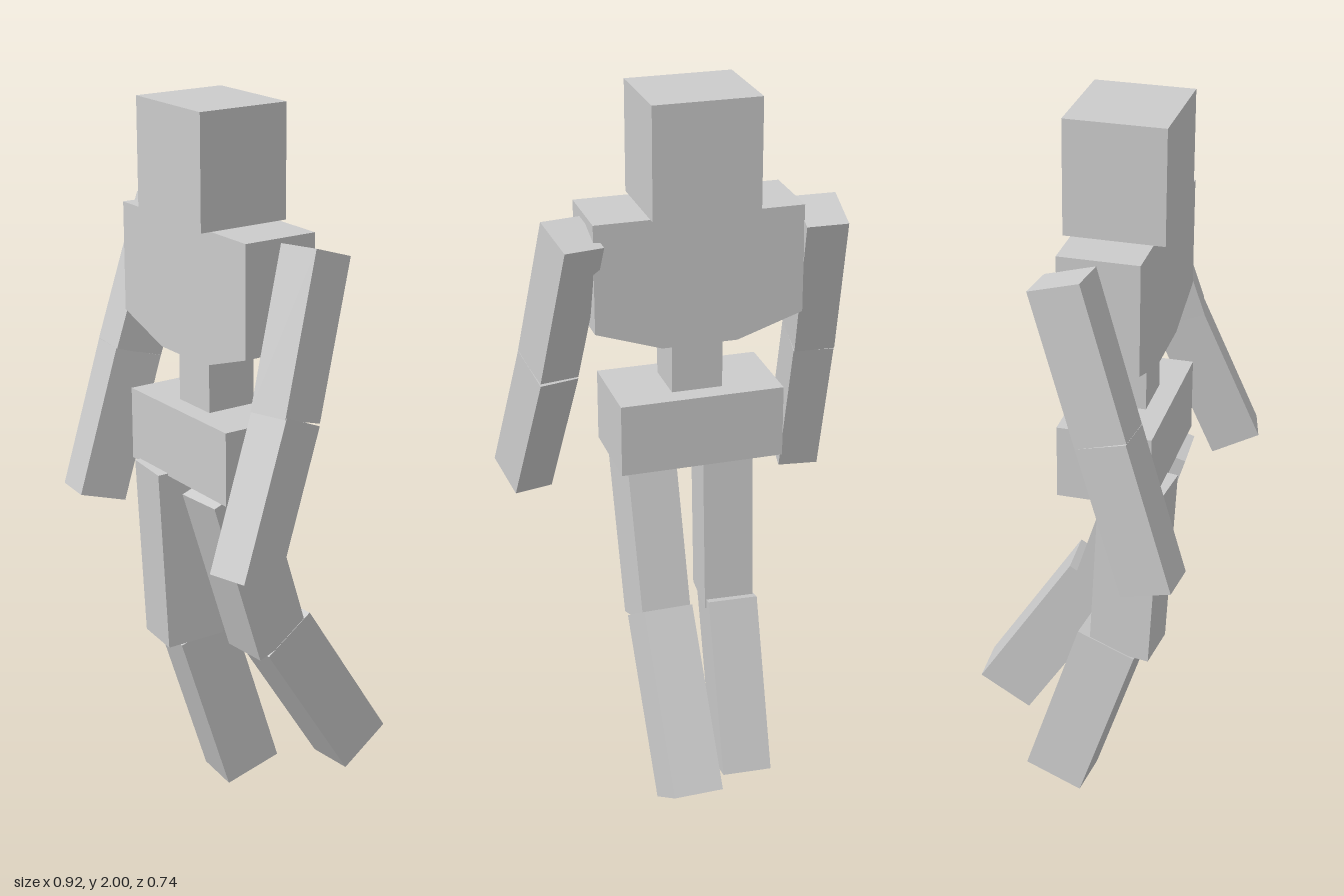
import * as THREE from 'three';

const material = new THREE.MeshStandardMaterial({ color: 0xcccccc, flatShading: true });

function add(group, name, geometry) {
  const mesh = new THREE.Mesh(geometry, material);
  mesh.name = name;
  group.add(mesh);
  return mesh;
}

// Upright block given by its ranges on each axis
function block(group, name, [x0, x1], [y0, y1], [z0, z1]) {
  const mesh = add(group, name, new THREE.BoxGeometry(x1 - x0, y1 - y0, z1 - z0));
  mesh.position.set((x0 + x1) / 2, (y0 + y1) / 2, (z0 + z1) / 2);
}

// Limb block running between two end centres, turned about its length by yaw
function limb(group, name, top, bottom, width, depth, yaw) {
  const a = new THREE.Vector3(...top);
  const b = new THREE.Vector3(...bottom);
  const mesh = add(group, name, new THREE.BoxGeometry(width, a.distanceTo(b), depth));
  const y = a.clone().sub(b).normalize();
  const x = new THREE.Vector3(Math.cos(yaw), 0, -Math.sin(yaw));
  x.addScaledVector(y, -x.dot(y)).normalize();
  const z = x.clone().cross(y);
  mesh.quaternion.setFromRotationMatrix(new THREE.Matrix4().makeBasis(x, y, z));
  mesh.position.copy(a).add(b).multiplyScalar(0.5);
}

export function createModel() {
  const model = new THREE.Group();
  model.name = 'blockFigure';

  // Head, waist and pelvis
  block(model, 'head', [-0.19, 0.1], [1.7, 2], [-0.04, 0.22]);
  block(model, 'waist', [-0.105, 0.035], [1.19, 1.36], [0.015, 0.155]);
  block(model, 'pelvis', [-0.26, 0.19], [1, 1.2], [-0.04, 0.21]);

  // Chest with its lower corners cut off
  const outline = [[-0.314, 1.7], [-0.314, 1.405], [-0.135, 1.345], [0.07, 1.345], [0.25, 1.405], [0.25, 1.7]];
  const shape = new THREE.Shape(outline.map(([x, y]) => new THREE.Vector2(x, y)));
  const chest = add(model, 'chest', new THREE.ExtrudeGeometry(shape, { depth: 0.21, bevelEnabled: false }));
  chest.position.z = -0.02;

  // Arms, swung forward
  const arm = [0.112, 0.14];
  limb(model, 'leftUpperArm', [0.296, 1.67, 0.011], [0.342, 1.27, 0.135], ...arm, 0.235);
  limb(model, 'leftForearm', [0.342, 1.27, 0.133], [0.389, 0.883, 0.293], ...arm, 0.245);
  limb(model, 'rightUpperArm', [-0.371, 1.67, 0.011], [-0.39, 1.27, 0.133], ...arm, -0.08);
  limb(model, 'rightForearm', [-0.39, 1.27, 0.133], [-0.398, 0.865, 0.254], ...arm, -0.11);

  // Legs in mid-stride, the left one trailing
  const leg = [0.139, 0.17];
  limb(model, 'leftThigh', [0.087, 1.012, 0.149], [0.083, 0.535, 0], ...leg, 0.057);
  limb(model, 'leftShin', [0.083, 0.557, -0.02], [0.079, 0.127, -0.295], ...leg, 0.057);
  limb(model, 'rightThigh', [-0.147, 1.01, 0.148], [-0.147, 0.495, 0.122], ...leg, -0.1);
  limb(model, 'rightShin', [-0.147, 0.513, 0.085], [-0.145, 0.028, -0.07], ...leg, -0.1);

  return model;
}
